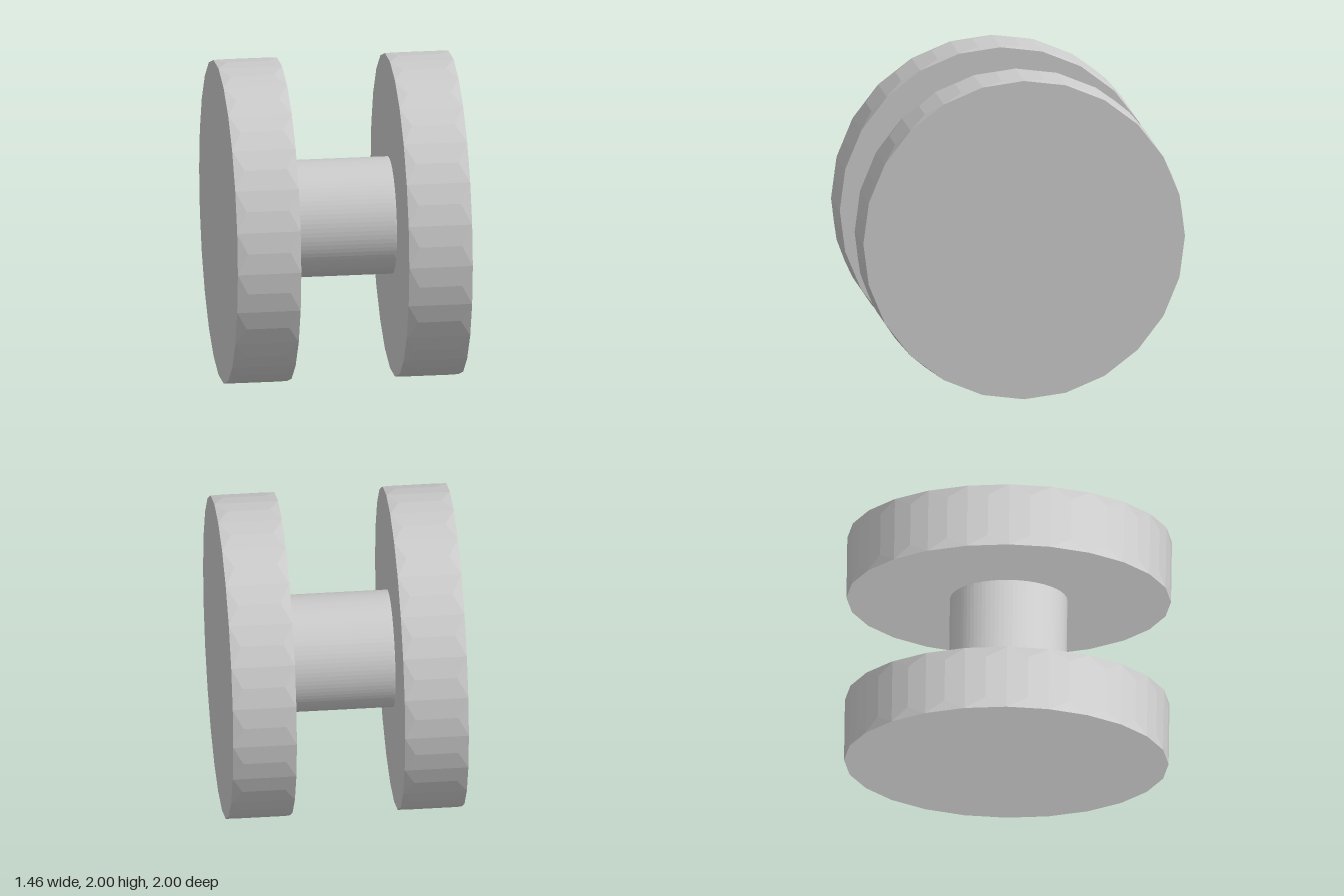
import * as THREE from 'three';
import { ConvexGeometry } from 'three/addons/geometries/ConvexGeometry.js';

// Faceted drum along x: the two inner rings are turned half a step from the end rings
function drum(name, radius, length, inset, sides, x, material) {
  const points = [];
  const half = length / 2;
  const rings = [[-half, 0], [-half + inset, 0.5], [half - inset, 0.5], [half, 0]];
  for (const [px, turn] of rings) {
    for (let i = 0; i < sides; i++) {
      const a = ((i + turn) / sides) * Math.PI * 2;
      points.push(new THREE.Vector3(px, Math.cos(a) * radius, Math.sin(a) * radius));
    }
  }
  const mesh = new THREE.Mesh(new ConvexGeometry(points), material);
  mesh.name = name;
  mesh.position.set(x, 1, 0);
  return mesh;
}

export function createModel() {
  const group = new THREE.Group();
  group.name = 'spool';
  const grey = new THREE.MeshStandardMaterial({ color: 0xcccccc, flatShading: true });

  // Two wide discs
  group.add(drum('leftDisc', 1, 0.394, 0.065, 24, 0.532, grey));
  group.add(drum('rightDisc', 1, 0.394, 0.065, 24, -0.532, grey));

  // Axle joining the discs
  group.add(drum('axle', 0.362, 0.67, 0.02, 40, 0, grey));
  return group;
}
